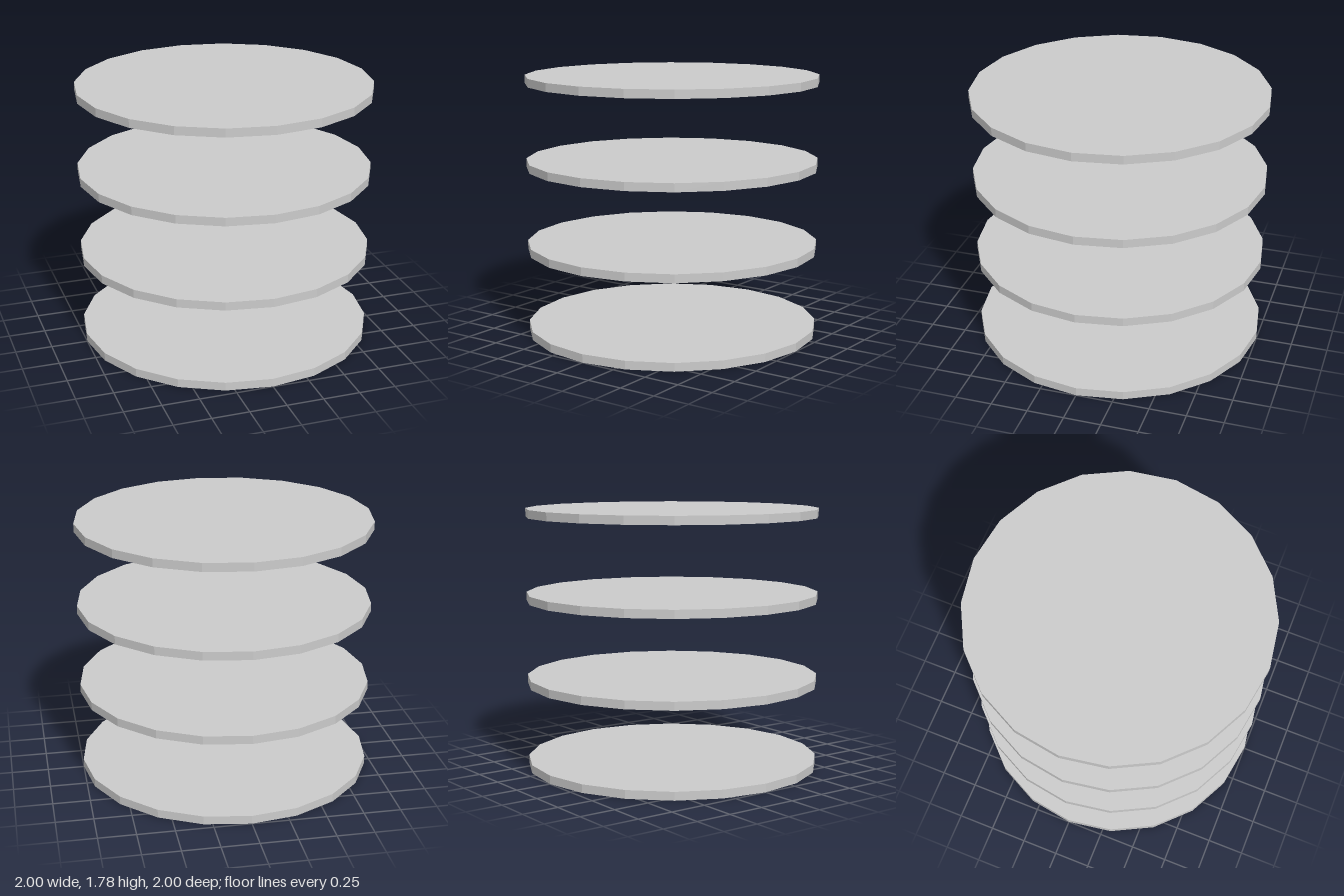
import * as THREE from 'three';

const RADIUS = 1;
const THICKNESS = 0.057;
const SPACING = 0.573;
const COUNT = 4;
const SIDES = 20;

export function createModel() {
  const group = new THREE.Group();
  group.name = 'discStack';

  const material = new THREE.MeshStandardMaterial({ color: 0xcccccc, flatShading: true });
  const geometry = new THREE.CylinderGeometry(RADIUS, RADIUS, THICKNESS, SIDES);

  // Evenly spaced, identical faceted discs
  for (let i = 0; i < COUNT; i++) {
    const disc = new THREE.Mesh(geometry, material);
    disc.name = `disc${i + 1}`;
    disc.position.y = THICKNESS / 2 + i * SPACING;
    group.add(disc);
  }
  return group;
}
